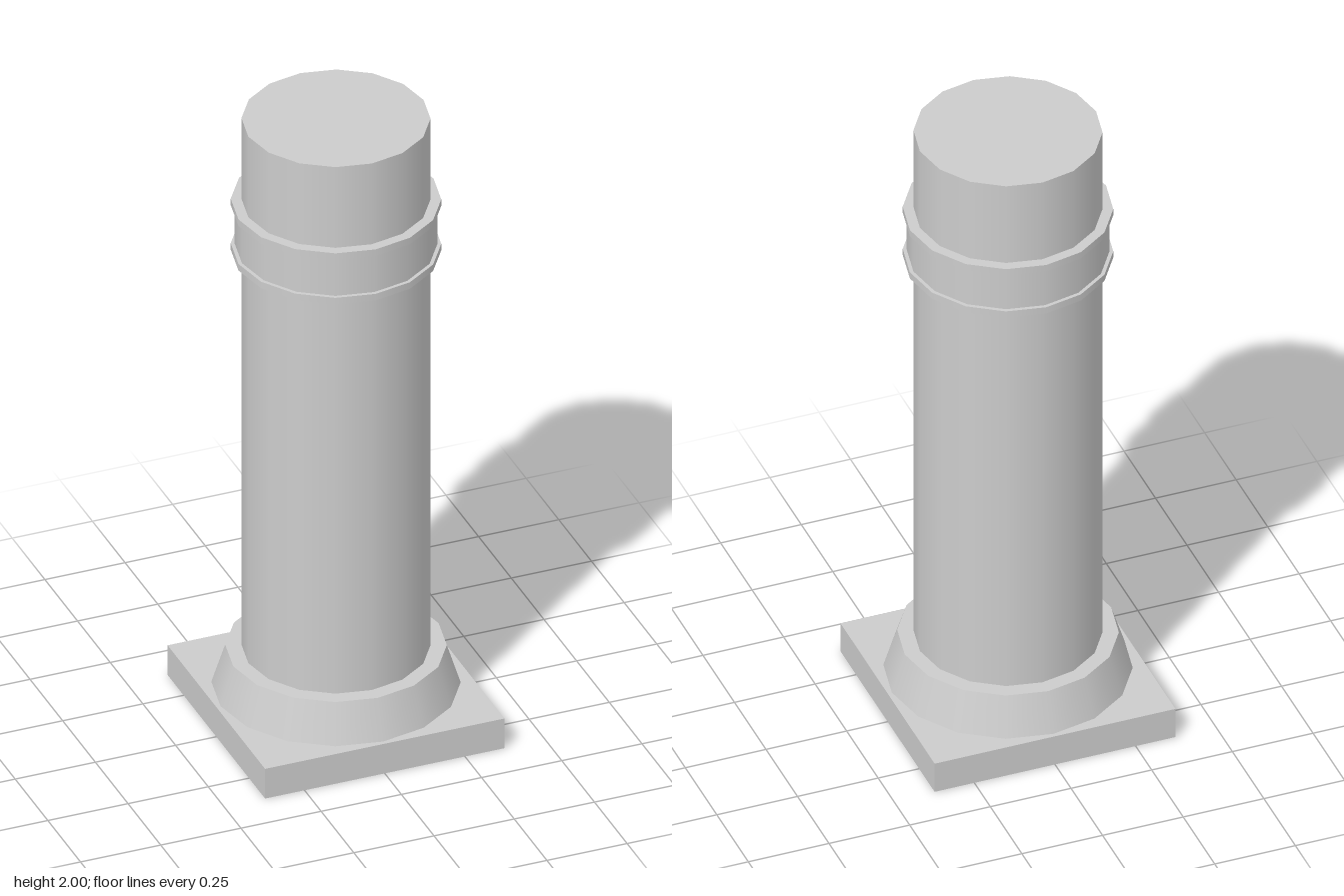
import * as THREE from 'three';

const SIDES = 16;
const stone = new THREE.MeshStandardMaterial({ color: 0xcccccc, side: THREE.DoubleSide });
stone.name = 'pale grey stone';

// Round section of the column between two heights
function drum(name, bottomRadius, topRadius, y0, y1) {
  const geometry = new THREE.CylinderGeometry(topRadius, bottomRadius, y1 - y0, SIDES);
  const mesh = new THREE.Mesh(geometry, stone);
  mesh.name = name;
  mesh.position.y = (y0 + y1) / 2;
  return mesh;
}

// Square base slab, hollow and open underneath
function makePlinth(width, height) {
  const geometry = new THREE.BoxGeometry(width, height, width);
  const index = Array.from(geometry.index.array);
  index.splice(18, 6); // drop the bottom face
  geometry.setIndex(index);
  geometry.clearGroups();
  const mesh = new THREE.Mesh(geometry, stone);
  mesh.name = 'plinth';
  mesh.position.y = height / 2;
  return mesh;
}

export function createModel() {
  const column = new THREE.Group();
  column.name = 'column';

  column.add(
    makePlinth(0.746, 0.1),
    drum('flaredBase', 0.36, 0.32, 0.1, 0.225),
    drum('shaft', 0.273, 0.273, 0.225, 2),
  );

  // Collar: a band between two thin rims
  const collar = new THREE.Group();
  collar.name = 'collar';
  collar.add(
    drum('lowerRim', 0.304, 0.304, 1.556, 1.578),
    drum('band', 0.293, 0.293, 1.578, 1.706),
    drum('upperRim', 0.304, 0.304, 1.706, 1.728),
  );
  column.add(collar);

  return column;
}
